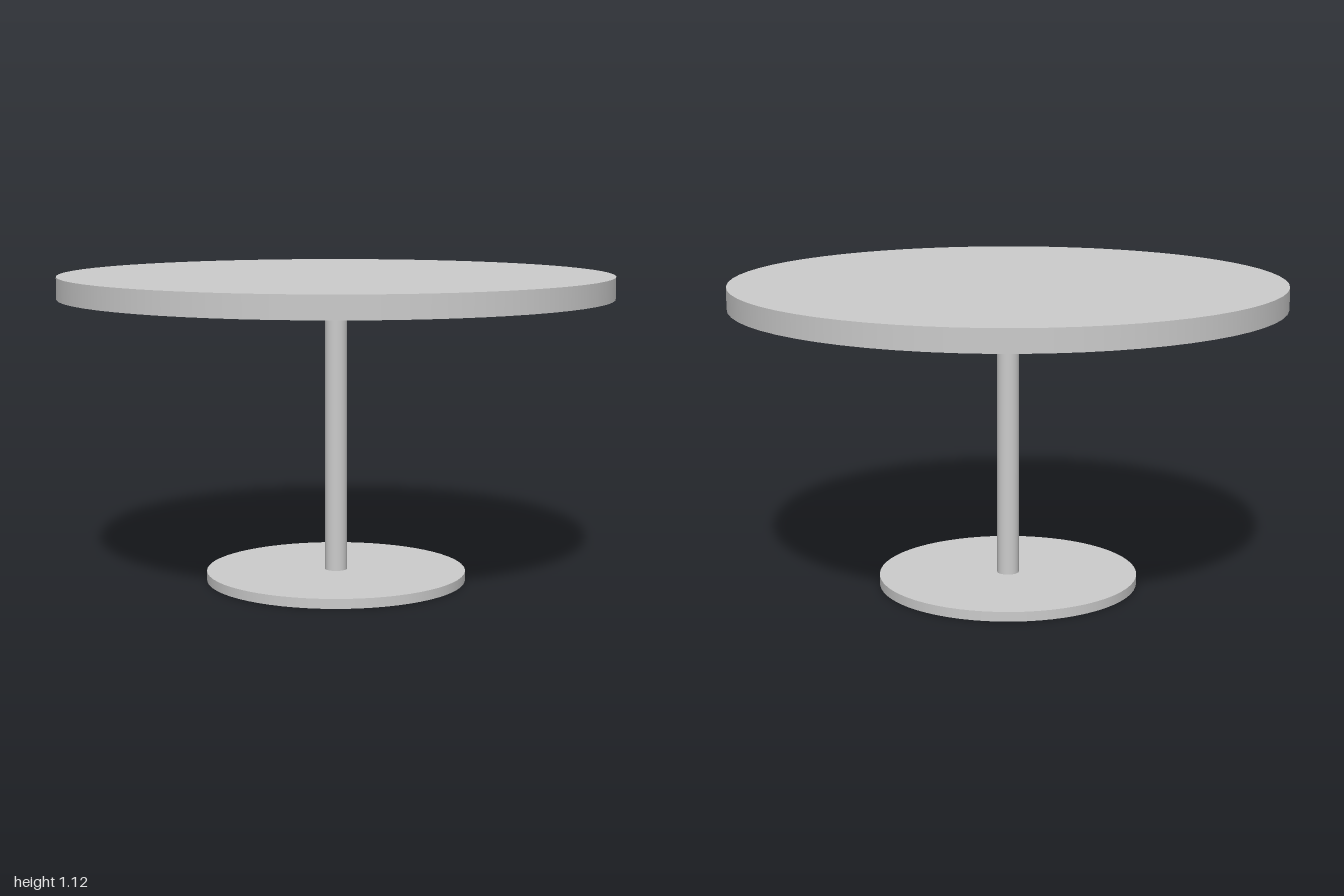
import * as THREE from 'three';

const material = new THREE.MeshStandardMaterial({ color: 0xcccccc });

// Upright round part spanning bottom to top
function disc(name, radius, bottom, top, segments) {
  const geometry = new THREE.CylinderGeometry(radius, radius, top - bottom, segments);
  const mesh = new THREE.Mesh(geometry, material);
  mesh.name = name;
  mesh.position.y = (bottom + top) / 2;
  return mesh;
}

export function createModel() {
  const table = new THREE.Group();
  table.name = 'pedestalTable';
  table.add(
    disc('base', 0.475, 0, 0.035, 64),
    disc('column', 0.04, 0.035, 1.04, 32),
    disc('tabletop', 1, 1.04, 1.12, 64)
  );
  return table;
}
